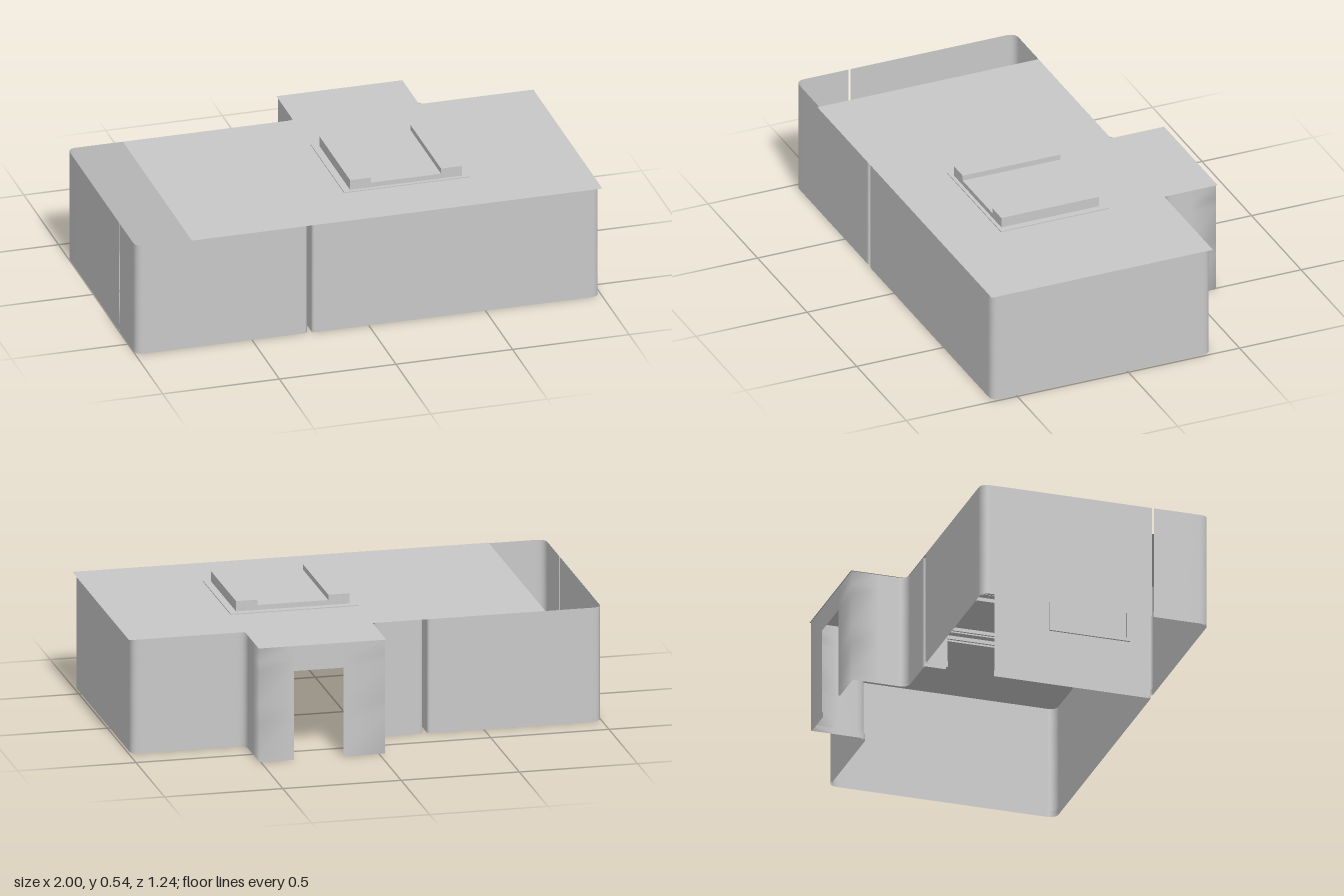
import * as THREE from 'three';
import { mergeVertices } from 'three/addons/utils/BufferGeometryUtils.js';

const plaster = new THREE.MeshStandardMaterial({ color: 0xc8c8c8, side: THREE.DoubleSide });
plaster.name = 'grey plaster';

const TOP = 0.49;
const LEVELS = [0, 0.025, 0.165, 0.24, 0.39, 0.43, TOP];

// openings as boxes in x, y, z
const opening = (x0, x1, y0, y1, z0, z1) =>
  new THREE.Box3(new THREE.Vector3(x0, y0, z0), new THREE.Vector3(x1, y1, z1));
const OPENINGS = [
  opening(0.15, 0.36, -1, 0.39, -0.7, -0.5),      // alcove doorway
  opening(-0.3, -0.2, -1, 0.39, -0.28, -0.07),    // doorway between rooms
  opening(-0.3, -0.2, 0.24, 0.43, 0.17, 0.5),     // window between rooms
  opening(-1.1, -0.9, -1, 1, 0.36, 0.368),        // narrow joint in the end wall
];

// closed plan outline; corners are [x, z, radius]
function roundedOutline(corners) {
  const pts = [];
  const n = corners.length;
  corners.forEach(([x, z, r], i) => {
    const p = new THREE.Vector2(x, z);
    if (!r) return pts.push(p);
    const toward = ([qx, qz]) => new THREE.Vector2(qx - x, qz - z).setLength(r).add(p);
    const a = toward(corners[(i + n - 1) % n]);
    const b = toward(corners[(i + 1) % n]);
    pts.push(...new THREE.QuadraticBezierCurve(a, p, b).getPoints(6));
  });
  return pts;
}

// split straight runs where an opening begins or ends
function withCuts(pts) {
  const out = [];
  pts.forEach((a, i) => {
    const b = pts[(i + 1) % pts.length];
    const ts = [0];
    for (const o of OPENINGS) {
      for (const end of [o.min, o.max]) {
        const tx = (end.x - a.x) / (b.x - a.x);
        const tz = (end.z - a.y) / (b.y - a.y);
        for (const t of [tx, tz]) if (t > 1e-4 && t < 1 - 1e-4) ts.push(t);
      }
    }
    ts.sort((p, q) => p - q).forEach((t) => out.push(a.clone().lerp(b, t)));
  });
  return out;
}

// thin wall sheet around an outline, leaving out the openings
function wallSheet(corners, levels = LEVELS) {
  const pts = withCuts(roundedOutline(corners));
  const pos = [];
  const mid = new THREE.Vector3();
  pts.forEach((a, i) => {
    const b = pts[(i + 1) % pts.length];
    for (let k = 0; k < levels.length - 1; k++) {
      const lo = levels[k], hi = levels[k + 1];
      mid.set((a.x + b.x) / 2, (lo + hi) / 2, (a.y + b.y) / 2);
      if (OPENINGS.some((o) => o.containsPoint(mid))) continue;
      pos.push(a.x, lo, a.y, b.x, lo, b.y, b.x, hi, b.y);
      pos.push(a.x, lo, a.y, b.x, hi, b.y, a.x, hi, a.y);
    }
  });
  let geo = new THREE.BufferGeometry();
  geo.setAttribute('position', new THREE.Float32BufferAttribute(pos, 3));
  geo = mergeVertices(geo);
  geo.computeVertexNormals();
  return geo;
}

export function createModel() {
  const model = new THREE.Group();
  const add = (name, geo, parent = model) => {
    const mesh = new THREE.Mesh(geo, plaster);
    mesh.name = name;
    parent.add(mesh);
    return mesh;
  };
  const box = (name, x0, x1, y0, y1, z0, z1, parent) =>
    add(name, new THREE.BoxGeometry(x1 - x0, y1 - y0, z1 - z0), parent)
      .position.set((x0 + x1) / 2, (y0 + y1) / 2, (z0 + z1) / 2);

  // room walls and the skirting just inside them; d is the inward offset
  const R = 0.04;
  const mainRoom = (d) => [
    [-0.243 + d, 0.61 - d, 0.015], [0.99 - d, 0.61 - d, R], [0.99 - d, -0.377 + d, R],
    [0.505 - d, -0.377 + d, R], [0.505 - d, -0.615 + d, 0], [-0.025 + d, -0.615 + d, 0],
    [-0.025 + d, -0.377 + d, R], [-0.243 + d, -0.377 + d, 0.015],
  ];
  const sideRoom = (d) => [
    [-0.998 + d, 0.607 - d, R], [-0.262 - d, 0.607 - d, 0.015],
    [-0.262 - d, -0.38 + d, 0.015], [-0.998 + d, -0.38 + d, R],
  ];
  add('mainRoomWalls', wallSheet(mainRoom(0)));
  add('sideRoomWalls', wallSheet(sideRoom(0)));
  add('mainRoomSkirting', wallSheet(mainRoom(0.005), [0, 0.025]));
  add('sideRoomSkirting', wallSheet(sideRoom(0.005), [0, 0.025]));

  // ceiling sheet with the light well cut out; plan drawn in x and -z
  const plan = new THREE.Shape([
    [-0.76, -0.615], [1, -0.615], [1, 0.38], [0.51, 0.38],
    [0.51, 0.62], [-0.03, 0.62], [-0.03, 0.38], [-0.76, 0.38],
  ].map(([x, y]) => new THREE.Vector2(x, y)));
  plan.holes.push(new THREE.Path([[0, -0.34], [0, 0.1], [0.48, 0.1], [0.48, -0.34]]
    .map(([x, y]) => new THREE.Vector2(x, y))));
  const ceiling = add('ceiling', new THREE.ShapeGeometry(plan));
  ceiling.rotation.x = -Math.PI / 2;
  ceiling.position.y = TOP;

  // raised ceiling light well: flange, sides, centre panel and two channels
  const well = new THREE.Group();
  well.name = 'ceilingLight';
  model.add(well);
  box('flange', -0.03, 0.0, 0.482, 0.494, -0.13, 0.355, well);
  box('flange', 0.48, 0.51, 0.482, 0.494, -0.13, 0.355, well);
  box('flange', 0.0, 0.48, 0.482, 0.494, -0.13, -0.1, well);
  box('flange', 0.0, 0.48, 0.482, 0.494, 0.34, 0.355, well);
  box('centrePanel', 0.09, 0.39, 0.505, 0.515, -0.1, 0.34, well);
  for (const z of [-0.1, 0.332]) box('wellEnd', 0.09, 0.39, 0.485, 0.515, z, z + 0.008, well);
  for (const x of [0, 0.39]) {
    box('channelTop', x, x + 0.09, 0.53, 0.538, -0.1, 0.34, well);
    for (const s of [x, x + 0.082]) box('channelSide', s, s + 0.008, 0.49, 0.538, -0.1, 0.34, well);
    for (const z of [-0.1, 0.332]) box('channelEnd', x, x + 0.09, 0.485, 0.538, z, z + 0.008, well);
    box('lightStrip', x + 0.03, x + 0.06, 0.495, 0.51, -0.08, 0.32, well);
  }

  // window joining the two rooms
  const win = new THREE.Group();
  win.name = 'window';
  model.add(win);
  for (const y of [0.23, 0.42]) box('windowRail', -0.27, -0.234, y, y + 0.015, 0.16, 0.51, win);
  for (const z of [0.16, 0.495]) box('windowStile', -0.27, -0.234, 0.245, 0.42, z, z + 0.015, win);
  box('windowPane', -0.256, -0.25, 0.245, 0.42, 0.175, 0.495, win);

  return model;
}
